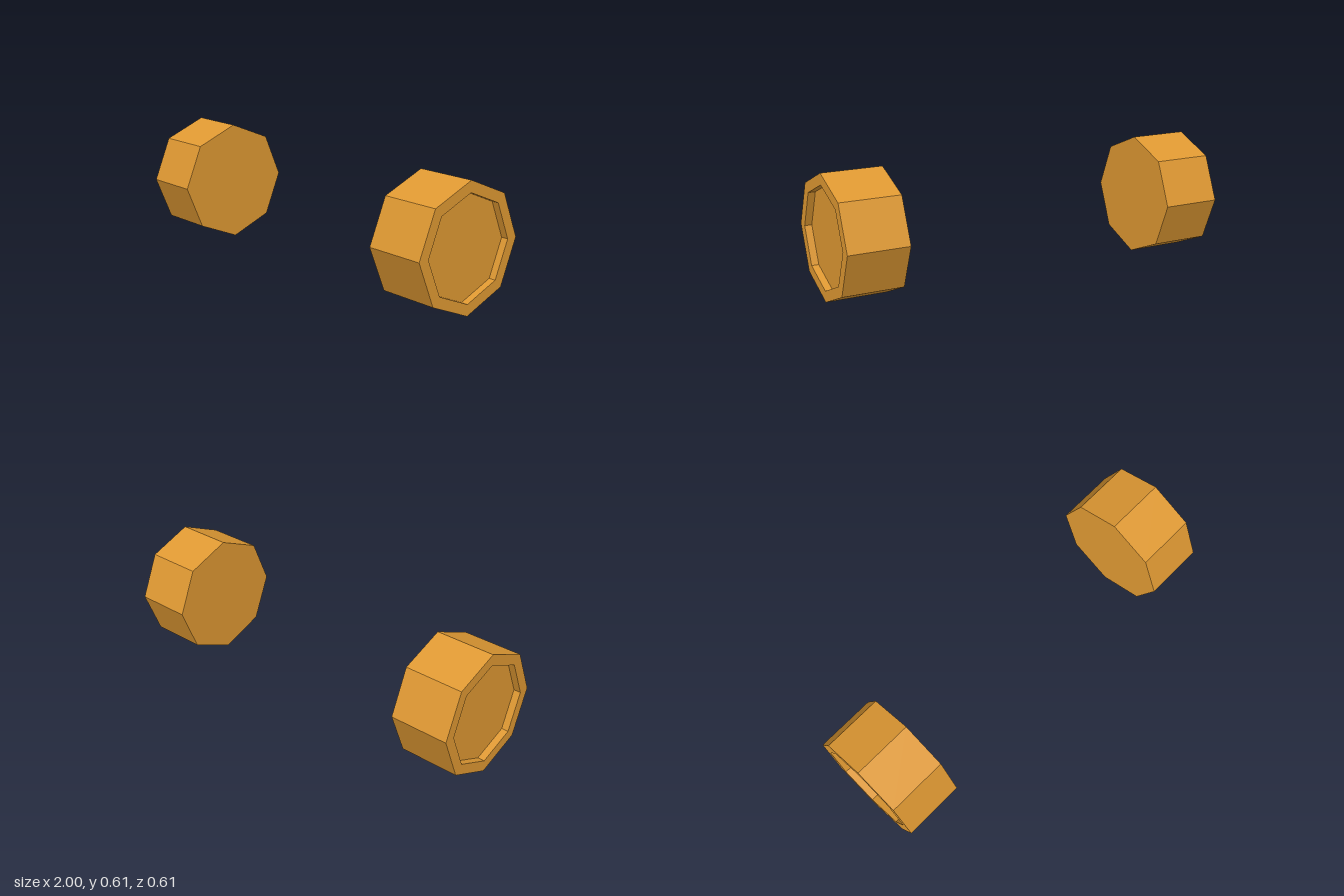
import * as THREE from 'three';

const RADIUS = 0.305, RIM_INNER = 0.25, WIDTH = 0.3, RECESS = 0.035;

export function createModel() {
  const model = new THREE.Group();
  model.name = 'wheelPair';
  const amber = new THREE.MeshStandardMaterial({ color: 0xde9832 });
  amber.name = 'amber';
  amber.flatShading = true;

  // Octagonal drum: flat inner face, raised rim and sunken outer face
  const profile = [
    [0, 0], [RADIUS, 0], [RADIUS, WIDTH],
    [RIM_INNER, WIDTH], [RIM_INNER, WIDTH - RECESS], [0, WIDTH - RECESS],
  ].map(([r, h]) => new THREE.Vector2(r, h));
  const drum = new THREE.LatheGeometry(profile, 8);

  // One wheel on each side, recess facing outwards
  for (const side of [1, -1]) {
    const wheel = new THREE.Mesh(drum, amber);
    wheel.name = side > 0 ? 'leftWheel' : 'rightWheel';
    wheel.rotation.z = -side * Math.PI / 2;
    wheel.position.set(side * (1 - WIDTH), RADIUS, 0);
    model.add(wheel);
  }
  return model;
}
